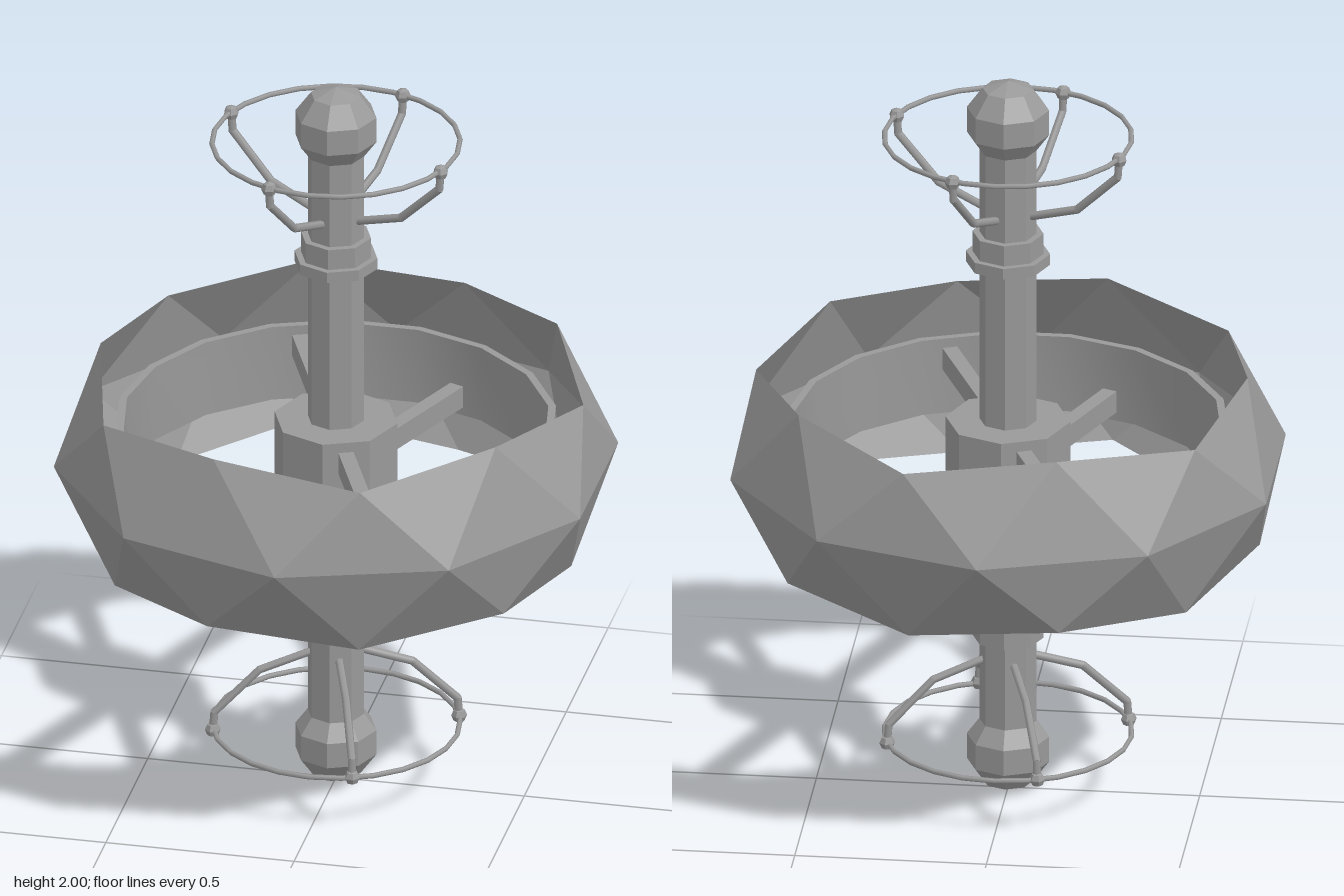
import * as THREE from 'three';
import { toCreasedNormals } from 'three/addons/utils/BufferGeometryUtils.js';

const GREY = 0x999999;
const faceted = new THREE.MeshStandardMaterial({ color: GREY, flatShading: true });
const openFaceted = new THREE.MeshStandardMaterial({ color: GREY, flatShading: true, side: THREE.DoubleSide });
const smooth = new THREE.MeshStandardMaterial({ color: GREY });
const openSmooth = new THREE.MeshStandardMaterial({ color: GREY, side: THREE.DoubleSide });
const MID = 0.935; // height of the wheel's middle plane

function add(parent, name, geometry, x = 0, y = 0, z = 0, mat = faceted) {
  const mesh = new THREE.Mesh(geometry, mat);
  mesh.name = name;
  mesh.position.set(x, y, z);
  parent.add(mesh);
  return mesh;
}

// Straight rod between two points
function rod(parent, name, a, b, radius) {
  const dir = b.clone().sub(a);
  const mid = a.clone().add(b).multiplyScalar(0.5);
  const geometry = new THREE.CylinderGeometry(radius, radius, dir.length() + radius * 0.5, 6);
  const mesh = add(parent, name, geometry, mid.x, mid.y, mid.z, smooth);
  mesh.quaternion.setFromUnitVectors(new THREE.Vector3(0, 1, 0), dir.normalize());
}

// Faceted open band: three rings of ten points, a belt of a subdivided icosahedron
function bandGeometry() {
  const [low, mid, top] = [[], [], []];
  const point = (angle, r, y) => new THREE.Vector3(Math.cos(angle) * r, y, Math.sin(angle) * r);
  for (let k = 0; k < 10; k++) {
    const a = k * Math.PI / 5;
    const odd = k % 2 === 1;
    low.push(odd ? point(a, 0.657, -0.215) : point(a, 0.625, -0.255));
    mid.push(point(a + Math.PI / 10, 0.735, 0));
    top.push(odd ? point(a, 0.625, 0.255) : point(a, 0.657, 0.215));
  }
  const corners = [];
  for (let k = 0; k < 10; k++) {
    const n = (k + 1) % 10;
    corners.push(top[k], top[n], mid[k], top[n], mid[n], mid[k]);
    corners.push(low[k], mid[k], low[n], low[n], mid[k], mid[n]);
  }
  const geometry = new THREE.BufferGeometry().setFromPoints(corners);
  geometry.computeVertexNormals();
  return geometry;
}

// Smooth ring with sharp rims
function ringGeometry() {
  const section = [[0.555, -0.105], [0.575, -0.105], [0.575, 0.105], [0.555, 0.105], [0.555, -0.105]];
  const lathe = new THREE.LatheGeometry(section.map(([r, y]) => new THREE.Vector2(r, y)), 18);
  return toCreasedNormals(lathe, 0.6);
}

// One end of the axle, measured from the centre of the model
function axleEnd() {
  const end = new THREE.Group();
  add(end, 'endKnob', new THREE.SphereGeometry(0.113, 8, 5), 0, 0.887, 0);
  add(end, 'collarFlange', new THREE.CylinderGeometry(0.11, 0.11, 0.03, 8), 0, 0.5, 0);
  add(end, 'collar', new THREE.CylinderGeometry(0.093, 0.093, 0.06, 8), 0, 0.542, 0);

  // Thin hoop on four bent struts
  const hoop = add(end, 'hoop', new THREE.TorusGeometry(0.322, 0.007, 6, 24), 0, 0.842, 0, smooth);
  hoop.rotation.x = Math.PI / 2;
  const profile = [[0.05, 0.625], [0.09, 0.638], [0.2, 0.675], [0.318, 0.79], [0.322, 0.842]];
  for (let i = 0; i < 4; i++) {
    const angle = THREE.MathUtils.degToRad(20) + i * Math.PI / 2;
    const points = profile.map(([r, y]) => new THREE.Vector3(r * Math.cos(angle), y, r * Math.sin(angle)));
    for (let j = 0; j < points.length - 1; j++) rod(end, 'hoopStrut', points[j], points[j + 1], 0.011);
    const joint = add(end, 'hoopJoint', new THREE.SphereGeometry(0.021, 6, 4), points[4].x, 0.84, points[4].z);
    joint.rotation.y = -angle;
  }
  return end;
}

export function createModel() {
  const model = new THREE.Group();
  model.name = 'spindleStation';

  // Axle and hub
  add(model, 'axle', new THREE.CylinderGeometry(0.075, 0.075, 1.7, 8), 0, 1, 0);
  add(model, 'hub', new THREE.CylinderGeometry(0.163, 0.163, 0.215, 8), 0, MID, 0);

  // Outer band and inner ring
  add(model, 'outerBand', bandGeometry(), 0, MID, 0, openFaceted);
  const ring = add(model, 'innerRing', ringGeometry(), 0, MID, 0, openSmooth);
  ring.rotation.y = Math.PI / 2;

  // Two crossing bars at different heights
  for (const side of [1, -1]) {
    const bar = add(model, 'crossBar', new THREE.BoxGeometry(1.09, 0.06, 0.04), 0, MID + side * 0.05, 0);
    bar.rotation.y = -side * THREE.MathUtils.degToRad(67.5);
  }

  // Matching axle ends, the lower one turned over
  const upper = axleEnd();
  upper.name = 'upperEnd';
  const lower = axleEnd();
  lower.name = 'lowerEnd';
  lower.rotation.x = Math.PI;
  for (const end of [upper, lower]) {
    end.position.y = 1;
    model.add(end);
  }
  return model;
}
